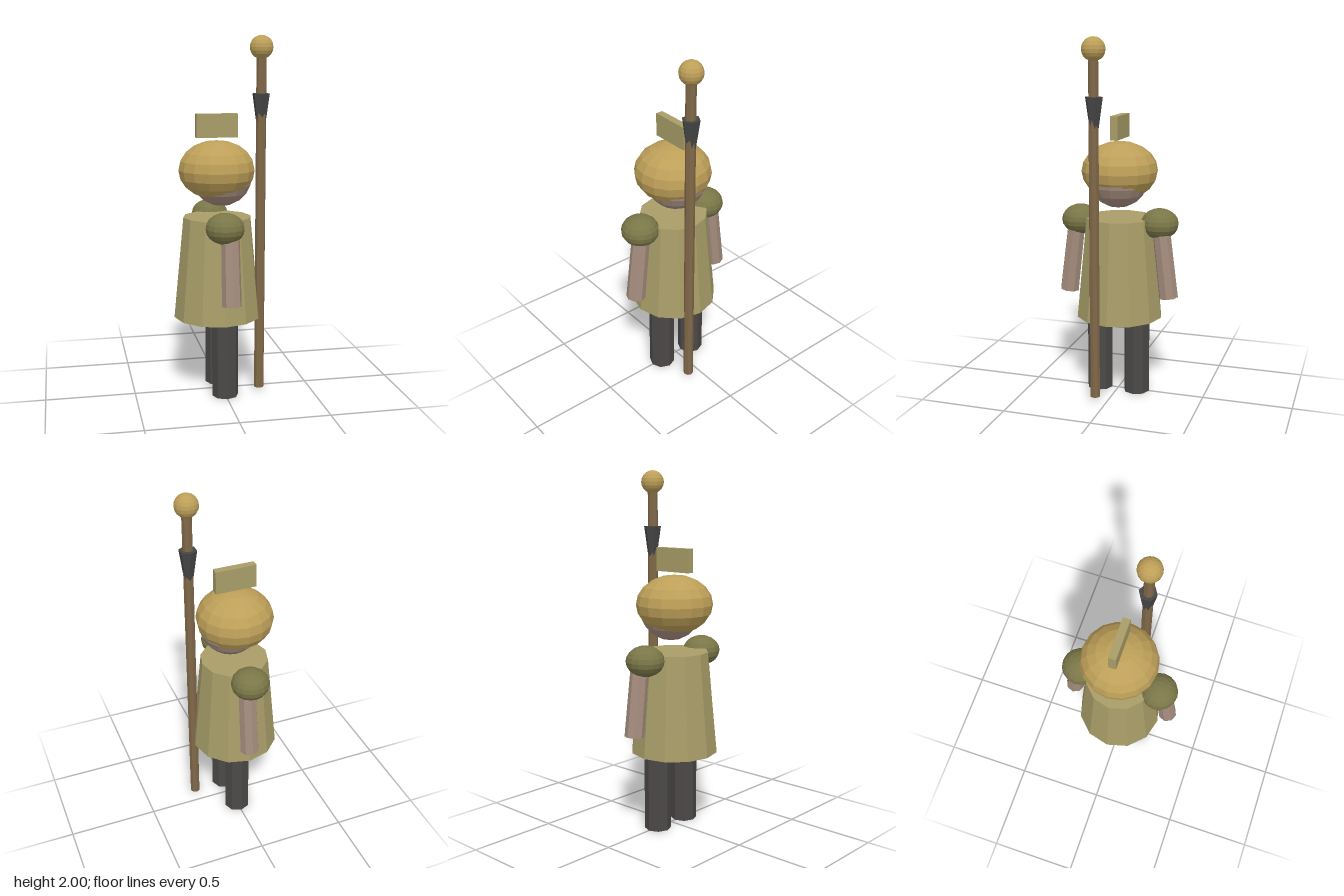
import * as THREE from 'three';

const paint = (color) => new THREE.MeshStandardMaterial({ color, flatShading: true });

export function createModel() {
  const model = new THREE.Group();
  const cloth = paint(0xa89d68);
  const olive = paint(0x7a7648);
  const gold = paint(0xbd9f58);
  const skin = paint(0xa58d7e);
  const dark = paint(0x4c4848);
  const iron = paint(0x464646);
  const wood = paint(0x806848);

  const add = (name, geometry, material, x, y, z) => {
    const mesh = new THREE.Mesh(geometry, material);
    mesh.name = name;
    mesh.position.set(x, y, z);
    model.add(mesh);
    return mesh;
  };
  const ball = (r, squash = 1) => new THREE.SphereGeometry(r, 16, 10).scale(1, squash, 1);
  // Tapered prism between two heights
  const column = (name, rTop, rBottom, y0, y1, sides, material, x, z) =>
    add(name, new THREE.CylinderGeometry(rTop, rBottom, y1 - y0, sides), material, x, (y0 + y1) / 2, z);

  // Coat, head, helmet and crest; the figure faces +x
  column('coat', 0.19, 0.245, 0.44, 1.01, 12, cloth, -0.025, 0);
  add('head', ball(0.172), skin, 0, 1.242, 0);
  add('helmet', ball(0.213, 0.765), gold, -0.027, 1.272, 0);
  add('crest', new THREE.BoxGeometry(0.23, 0.13, 0.042), cloth, -0.027, 1.515, 0);

  // Legs, shoulders and splayed arms on both sides
  for (const [side, s] of [['left', -1], ['right', 1]]) {
    column(side + 'Leg', 0.074, 0.074, 0, 0.5, 8, dark, 0, s * 0.11);
    add(side + 'Shoulder', ball(0.106, 0.8), olive, -0.025, 0.985, s * 0.232);
    const arm = column(side + 'Arm', 0.05, 0.054, 0.57, 0.97, 8, skin, 0, s * 0.27);
    arm.rotation.x = -s * 0.12;
  }

  // Staff with flared iron collar and round finial
  column('staff', 0.028, 0.028, 0.02, 1.9, 8, wood, 0.205, 0.073);
  column('staffCollar', 0.049, 0.022, 1.5, 1.69, 6, iron, 0.205, 0.07);
  add('staffFinial', ball(0.064), gold, 0.205, 1.936, 0.072);

  return model;
}
